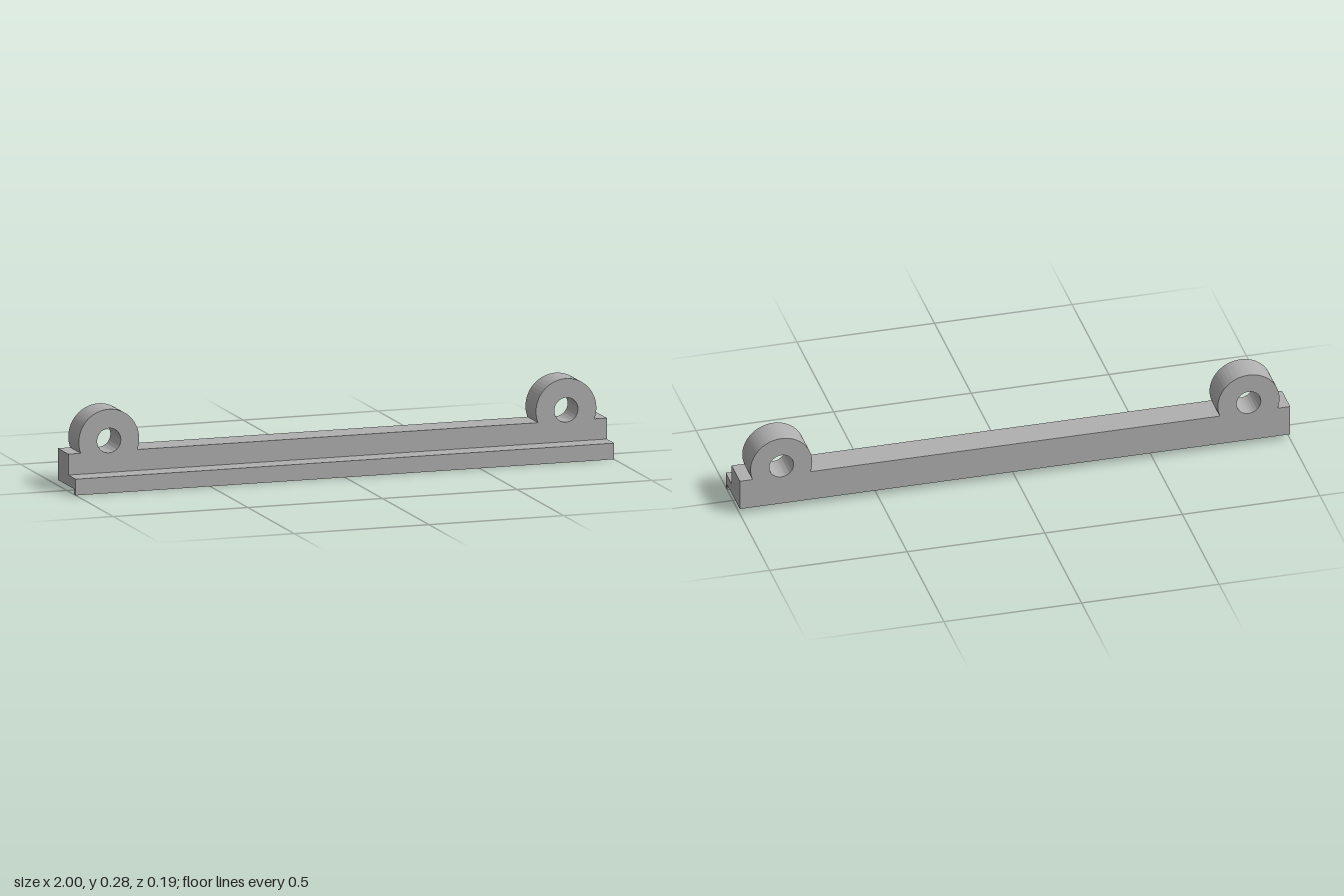
import * as THREE from 'three';
import { toCreasedNormals } from 'three/addons/utils/BufferGeometryUtils.js';

const HALF = 1;                      // half length of the rail
const BOTTOM = 0.02, TOP = 0.133;    // rail body heights
const BACK = -0.096, FACE = 0.017, FRONT = 0.096;
const LUG = { x: 0.849, y: 0.172, r: 0.112, hole: 0.044 };

export function createModel() {
  const group = new THREE.Group();
  const grey = new THREE.MeshStandardMaterial({ color: 0xb0b0b0 });
  grey.name = 'grey';

  const add = (name, geometry) => {
    const mesh = new THREE.Mesh(toCreasedNormals(geometry, 0.5), grey);
    mesh.name = name;
    group.add(mesh);
  };

  // Rail body with two round mounting lugs rising from its top edge
  const dip = Math.asin((LUG.y - TOP) / LUG.r);
  const outline = new THREE.Shape();
  outline.moveTo(-HALF, BOTTOM);
  outline.lineTo(HALF, BOTTOM);
  outline.lineTo(HALF, TOP);
  for (const side of [1, -1]) {
    outline.absarc(side * LUG.x, LUG.y, LUG.r, -dip, Math.PI + dip, false);
  }
  outline.lineTo(-HALF, TOP);
  outline.closePath();

  // Bolt holes through the lugs
  for (const side of [1, -1]) {
    const hole = new THREE.Path();
    hole.absarc(side * LUG.x, LUG.y, LUG.hole, 0, Math.PI * 2, true);
    outline.holes.push(hole);
  }
  const body = new THREE.ExtrudeGeometry(outline, {
    depth: FACE - BACK, bevelEnabled: false, curveSegments: 48,
  });
  body.translate(0, 0, BACK);
  add('railWithLugs', body);

  // Front ledge with a thin lip hanging from its edge; section drawn as (z, y)
  const section = new THREE.Shape([
    [FACE, BOTTOM], [0.077, BOTTOM], [0.077, 0], [FRONT, 0], [FRONT, 0.058], [FACE, 0.058],
  ].map(([z, y]) => new THREE.Vector2(z, y)));
  const ledge = new THREE.ExtrudeGeometry(section, { depth: 2 * HALF, bevelEnabled: false });
  ledge.rotateY(-Math.PI / 2);
  ledge.translate(HALF, 0, 0);
  add('frontLedge', ledge);

  return group;
}
